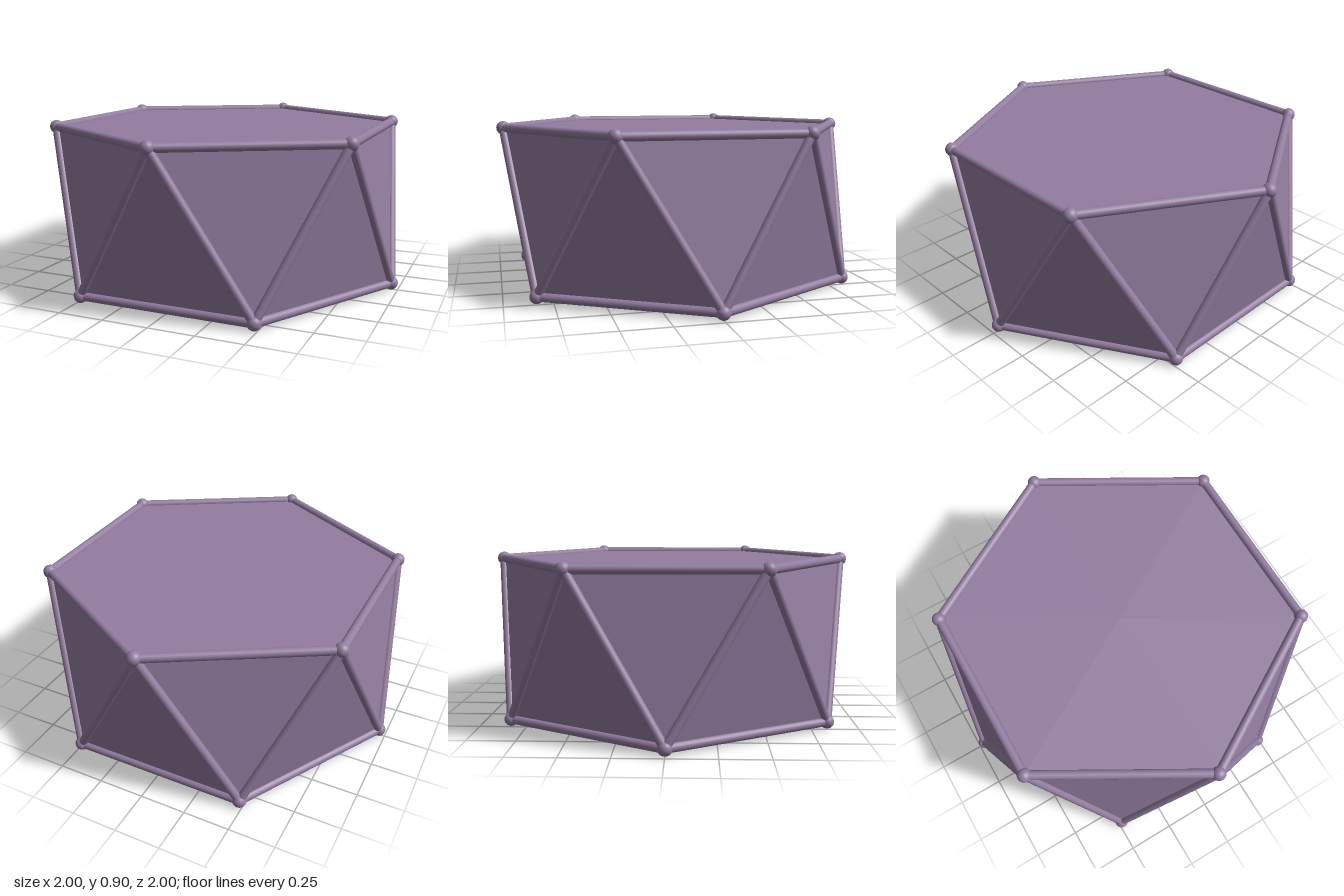
import * as THREE from 'three';

const R = 0.963;      // ring radius (also the edge length)
const BALL = 0.037;   // corner ball radius
const ROD = 0.024;    // edge rod radius
const Y0 = BALL, Y1 = BALL + 0.824;

export function createModel() {
  const group = new THREE.Group();
  group.name = 'hexagonalAntiprism';
  const material = new THREE.MeshStandardMaterial({ color: 0x937da0 });
  const flat = new THREE.MeshStandardMaterial({ color: 0x937da0, flatShading: true });

  // Two hexagon rings, the lower one turned by half a step
  const ring = (y, turn) => Array.from({ length: 6 }, (_, i) => {
    const a = (i + turn) * Math.PI / 3;
    return new THREE.Vector3(R * Math.sin(a), y, R * Math.cos(a));
  });
  const top = ring(Y1, 0);
  const bottom = ring(Y0, 0.5);

  // Solid body: hexagon caps and a band of twelve triangles
  const corners = [];
  const tri = (...points) => points.forEach((p) => corners.push(p));
  for (let i = 0; i < 6; i++) {
    const j = (i + 1) % 6;
    tri(top[i], bottom[i], top[j]);
    tri(bottom[i], bottom[j], top[j]);
    tri(new THREE.Vector3(0, Y1, 0), top[i], top[j]);
    tri(new THREE.Vector3(0, Y0, 0), bottom[j], bottom[i]);
  }
  const bodyGeometry = new THREE.BufferGeometry().setFromPoints(corners);
  bodyGeometry.computeVertexNormals();
  const body = new THREE.Mesh(bodyGeometry, flat);
  body.name = 'body';
  group.add(body);

  // Rods along every edge
  const rodGeometry = new THREE.CylinderGeometry(ROD, ROD, 1, 20, 1, true);
  const up = new THREE.Vector3(0, 1, 0);
  const addRod = (name, a, b) => {
    const rod = new THREE.Mesh(rodGeometry, material);
    const dir = b.clone().sub(a);
    rod.name = name;
    rod.scale.y = dir.length();
    rod.position.copy(a).add(b).multiplyScalar(0.5);
    rod.quaternion.setFromUnitVectors(up, dir.normalize());
    group.add(rod);
  };
  for (let i = 0; i < 6; i++) {
    const j = (i + 1) % 6;
    addRod('topEdge', top[i], top[j]);
    addRod('bottomEdge', bottom[i], bottom[j]);
    addRod('sideEdge', top[i], bottom[i]);
    addRod('sideEdge', bottom[i], top[j]);
  }

  // Balls at every corner
  const ballGeometry = new THREE.SphereGeometry(BALL, 24, 16);
  for (const p of [...top, ...bottom]) {
    const ball = new THREE.Mesh(ballGeometry, material);
    ball.name = 'cornerBall';
    ball.position.copy(p);
    group.add(ball);
  }
  return group;
}
